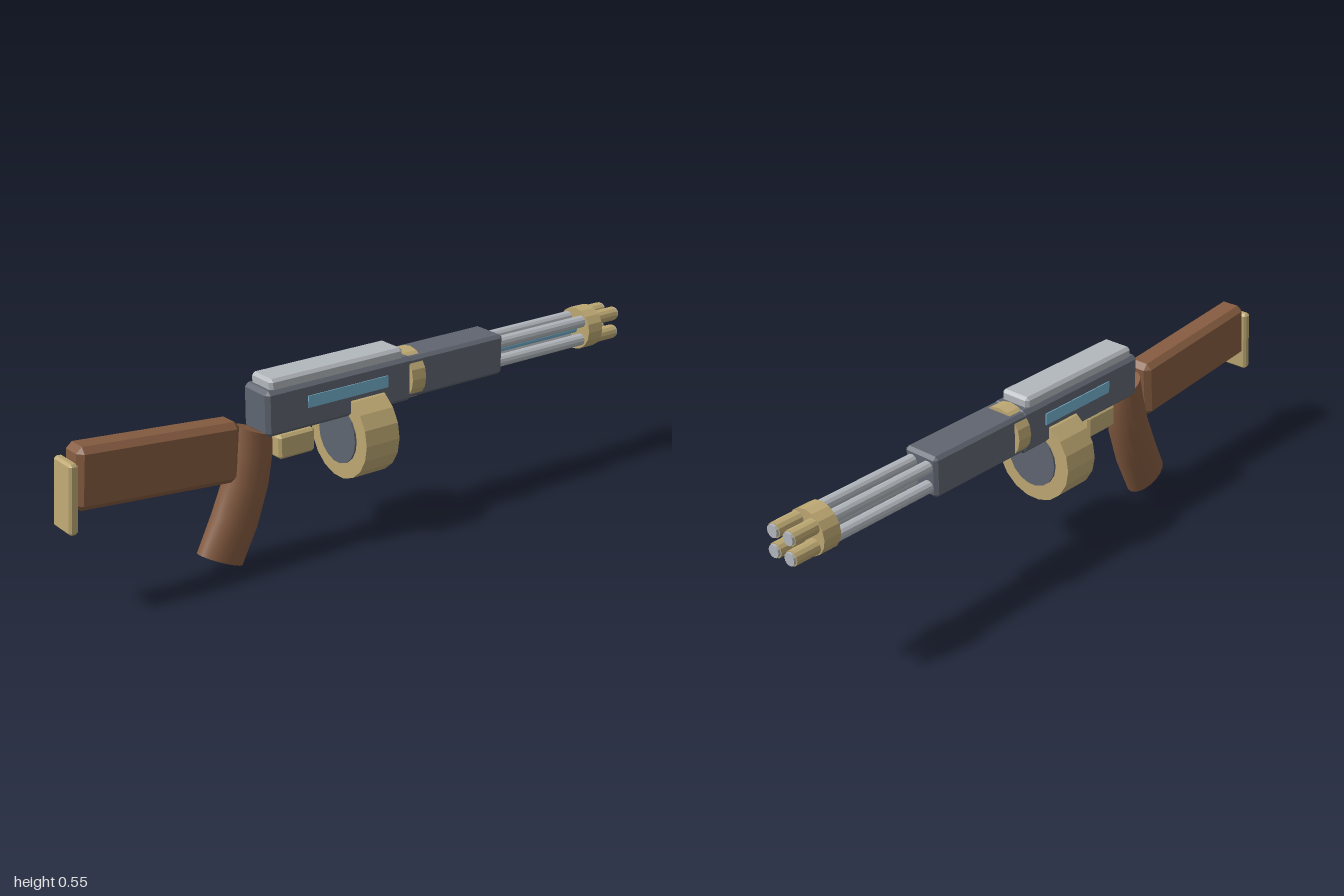
import * as THREE from 'three';
import { ConvexGeometry } from 'three/addons/geometries/ConvexGeometry.js';

function mat(name, color, flatShading = true) {
  const m = new THREE.MeshStandardMaterial({ color, flatShading });
  m.name = name;
  return m;
}

// Box with all edges chamfered by b
function chamferBox(w, h, d, b) {
  const pts = [], x = w / 2, y = h / 2, z = d / 2;
  for (const i of [-1, 1]) for (const j of [-1, 1]) for (const k of [-1, 1]) {
    pts.push(new THREE.Vector3(i * x, j * (y - b), k * (z - b)));
    pts.push(new THREE.Vector3(i * (x - b), j * y, k * (z - b)));
    pts.push(new THREE.Vector3(i * (x - b), j * (y - b), k * z));
  }
  return new ConvexGeometry(pts);
}

// Cylinder along z, with a corner on the x axis
function zCylinder(r, length, sides) {
  return new THREE.CylinderGeometry(r, r, length, sides, 1, false, Math.PI / 2).rotateX(Math.PI / 2);
}

// Elliptical tube lofted through sections [y, z, half width, half depth, tilt]
function loft(sections, sides) {
  const pos = [], idx = [], n = sections.length;
  const ring = ([y, z, rx, rz, tilt]) => {
    for (let i = 0; i < sides; i++) {
      const a = (i / sides) * Math.PI * 2, s = Math.sin(a) * rz;
      pos.push(Math.cos(a) * rx, y + s * Math.sin(tilt), z + s * Math.cos(tilt));
    }
  };
  sections.forEach(ring);
  for (let k = 0; k < n - 1; k++) for (let i = 0; i < sides; i++) {
    const j = (i + 1) % sides, a = k * sides + i, b = k * sides + j;
    idx.push(a, b, a + sides, b, b + sides, a + sides);
  }
  // Separate end rings keep the cap edges sharp
  const top = pos.length / 3;
  ring(sections[0]);
  const end = pos.length / 3;
  ring(sections[n - 1]);
  for (let i = 1; i < sides - 1; i++) {
    idx.push(top, top + i + 1, top + i);
    idx.push(end, end + i, end + i + 1);
  }
  const g = new THREE.BufferGeometry();
  g.setAttribute('position', new THREE.Float32BufferAttribute(pos, 3));
  g.setIndex(idx);
  g.computeVertexNormals();
  return g;
}

export function createModel() {
  const model = new THREE.Group();
  const gunmetal = mat('gunmetal', 0x5f6570);
  const steel = mat('steel', 0xb2b7bd);
  const brass = mat('brass', 0xbda873);
  const wood = mat('wood', 0x845b40);
  const smoothWood = wood;
  smoothWood.flatShading = false; // chamfered parts carry their own flat normals
  const blue = mat('blue', 0x74b0cc);

  function add(name, geometry, material, x, y, z, tilt = 0) {
    const mesh = new THREE.Mesh(geometry, material);
    mesh.name = name;
    mesh.position.set(x, y, z);
    mesh.rotation.x = tilt;
    model.add(mesh);
    return mesh;
  }

  // Body
  add('receiver', chamferBox(0.122, 0.137, 0.52, 0.012), gunmetal, 0, 0.456, 0.115);
  add('topCover', chamferBox(0.1, 0.05, 0.47, 0.009), steel, 0, 0.529, 0.12);
  add('foreBody', chamferBox(0.12, 0.126, 0.375, 0.01), gunmetal, 0, 0.458, -0.31);
  add('bodyBand', zCylinder(0.078, 0.05, 16), brass, 0, 0.456, -0.155);
  for (const s of [-1, 1]) {
    add('sidePanel', new THREE.BoxGeometry(0.008, 0.036, 0.285), blue, s * 0.06, 0.468, 0.093);
  }

  // Barrel cluster
  const axisY = 0.456;
  for (const sx of [-1, 1]) for (const sy of [-1, 1]) {
    const x = sx * 0.03, y = axisY + sy * 0.03;
    add('barrel', zCylinder(0.019, 0.53, 12), steel, x, y, -0.735);
    add('muzzleTip', zCylinder(0.0225, 0.085, 12), brass, x, y, -0.95);
  }
  add('barrelCore', zCylinder(0.014, 0.42, 10), blue, 0, axisY, -0.67);
  add('muzzleBand', zCylinder(0.068, 0.058, 16), brass, 0, axisY, -0.883);

  // Drum magazine
  add('drum', zCylinder(0.136, 0.12, 18), brass, 0, 0.316, 0.025);
  add('drumPlate', zCylinder(0.088, 0.132, 18), gunmetal, 0, 0.316, 0.025);

  // Trigger block, grip and stock
  add('triggerGuard', chamferBox(0.055, 0.073, 0.125, 0.008), brass, 0, 0.333, 0.25);
  add('grip', loft([
    [0.402, 0.384, 0.046, 0.062, 0.38],
    [0.34, 0.392, 0.052, 0.066, 0.2],
    [0.25, 0.413, 0.056, 0.07, 0.26],
    [0.14, 0.455, 0.056, 0.075, 0.38],
    [0.034, 0.507, 0.047, 0.078, 0.44],
  ].map(([y, z, rx, rz, t]) => [y, z, rx, rz, t]), 20), smoothWood, 0, 0, 0);
  add('stock', chamferBox(0.088, 0.179, 0.508, 0.017), wood, 0, 0.381, 0.707, -0.085);
  add('buttPlate', chamferBox(0.094, 0.2, 0.028, 0.007), brass, 0, 0.355, 0.977, -0.07);

  return model;
}
